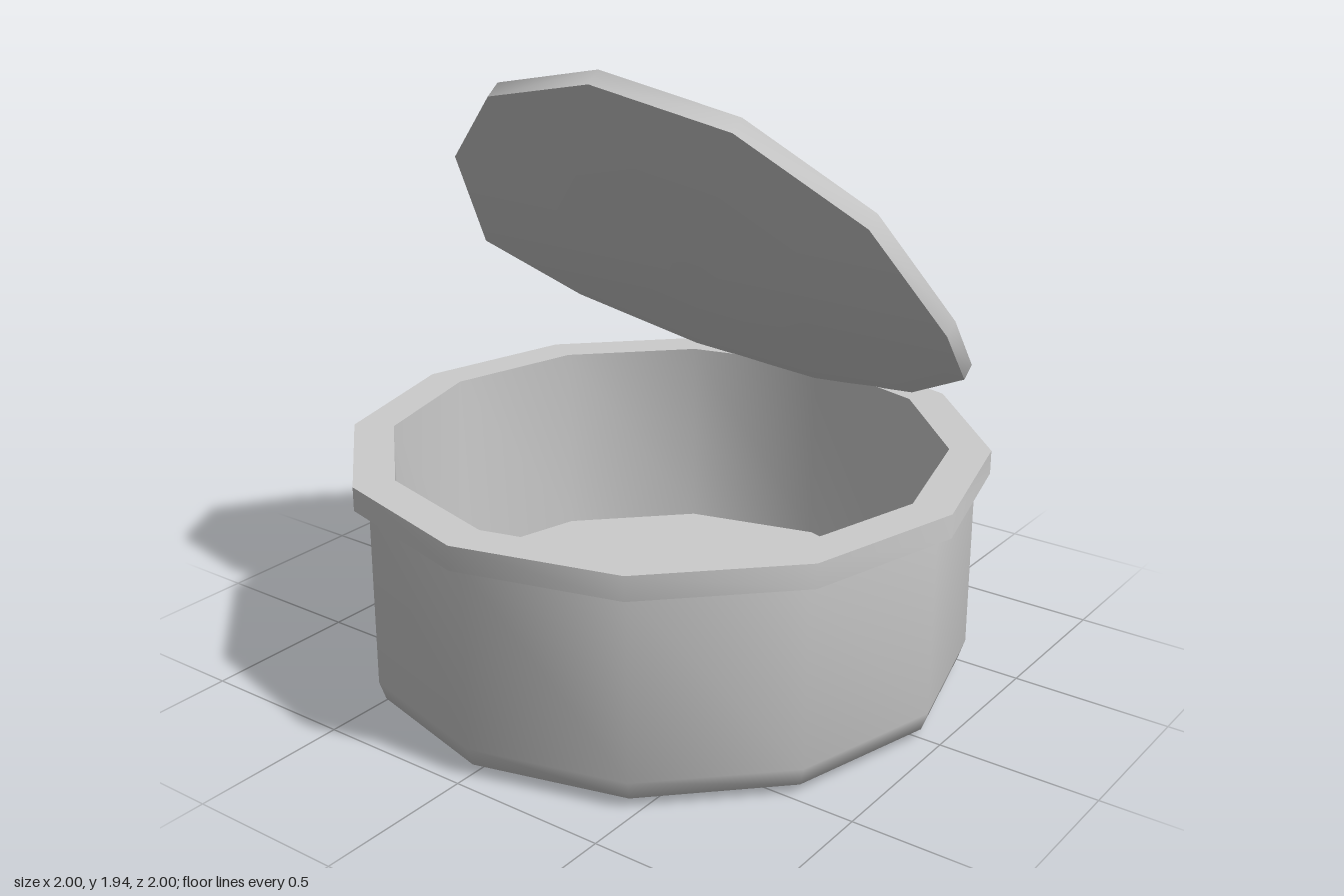
import * as THREE from 'three';
import { toCreasedNormals } from 'three/addons/utils/BufferGeometryUtils.js';

const SIDES = 12;
const metal = new THREE.MeshStandardMaterial({ color: 0xcccccc });

function addPart(group, name, geometry) {
  const mesh = new THREE.Mesh(geometry, metal);
  mesh.name = name;
  group.add(mesh);
  return mesh;
}

// Symmetric outline from its right-hand points, listed along the length
function mirrored(points, Type) {
  const right = points.map(([x, y]) => new THREE.Vector2(x, y));
  const left = points.map(([x, y]) => new THREE.Vector2(-x, y)).reverse();
  return new Type([...right, ...left]);
}

// Open can: outer wall, rim, inner wall and floor in one turned profile
function canGeometry() {
  const profile = [
    [0, 0], [0.84, 0], [0.865, 0], [0.935, 0.03], [0.955, 0.09], [0.955, 0.665],
    [1, 0.665], [1, 0.74], [0.872, 0.74], [0.872, 0.1], [0, 0.1],
  ].map(([r, y]) => new THREE.Vector2(r, y));
  return toCreasedNormals(new THREE.LatheGeometry(profile, SIDES), 1);
}

// Lid: a thin disc folded along its middle, with its back edge on the rim
function lidGeometry() {
  const geometry = new THREE.CylinderGeometry(0.873, 0.873, 0.06, SIDES);
  const pos = geometry.attributes.position;
  for (let i = 0; i < pos.count; i++) {
    const s = pos.getZ(i);
    const top = pos.getY(i) > 0;
    const slope = s > 0 ? [0.803, 0.597] : [0.583, 0.812];
    pos.setY(i, (top ? 1.235 : 1.2) + s * slope[0]);
    pos.setZ(i, (top ? -0.2 : -0.155) + s * slope[1]);
  }
  return toCreasedNormals(geometry, 0.7);
}

// Pull tab: tapered plate with two openings
function tabGeometry() {
  const shape = mirrored([[0.08, 0], [0.197, 0.04], [0.167, 0.5], [0.08, 0.595]], THREE.Shape);
  shape.holes.push(
    mirrored([[0.05, 0.066], [0.13, 0.088], [0.122, 0.26]], THREE.Path),
    mirrored([[0.12, 0.325], [0.112, 0.457], [0.06, 0.53]], THREE.Path),
  );
  return new THREE.ExtrudeGeometry(shape, { depth: 0.03, bevelEnabled: false });
}

export function createModel() {
  const model = new THREE.Group();
  model.name = 'openCan';

  addPart(model, 'can', canGeometry());
  addPart(model, 'lid', lidGeometry());

  // The tab rises towards the front and meets the lid near its upper edge
  const tab = addPart(model, 'pullTab', tabGeometry());
  const along = new THREE.Vector3(0, 0.42, 0.907).normalize();
  const across = new THREE.Vector3(1, 0, 0);
  const down = new THREE.Vector3().crossVectors(across, along);
  tab.quaternion.setFromRotationMatrix(new THREE.Matrix4().makeBasis(across, along, down));
  tab.position.set(0, 1.635, -0.295);

  return model;
}
